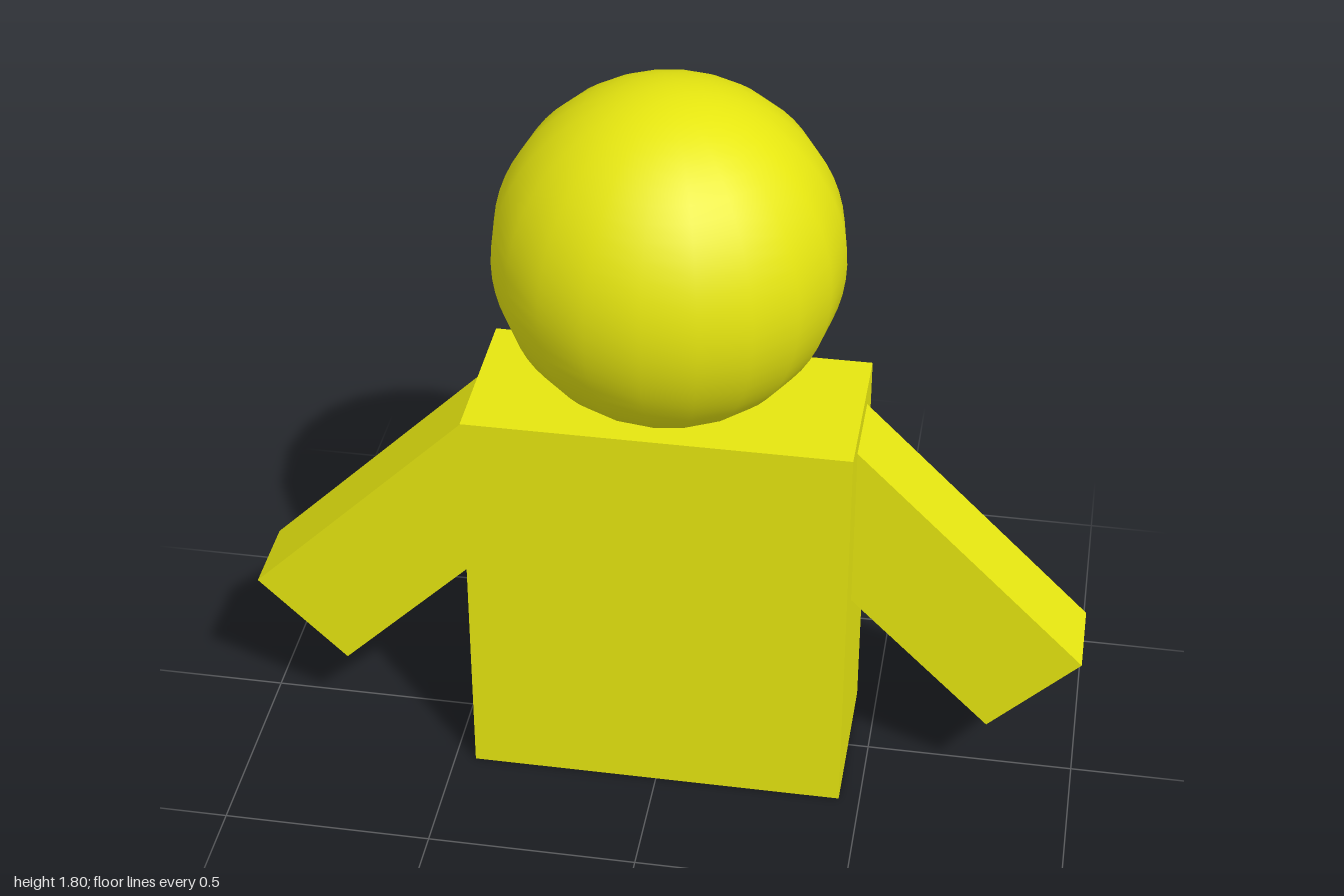
import * as THREE from 'three';

export function createModel() {
  const model = new THREE.Group();
  const yellow = new THREE.MeshStandardMaterial({ color: 0xe6e610 });

  const add = (name, geometry, x, y) => {
    const mesh = new THREE.Mesh(geometry, yellow);
    mesh.name = name;
    mesh.position.set(x, y, 0);
    model.add(mesh);
    return mesh;
  };

  // Block torso standing on the ground
  add('torso', new THREE.BoxGeometry(0.9, 1.01, 0.4), 0, 0.505);

  // Round head, 20 sides around, sunk slightly into the torso
  add('head', new THREE.SphereGeometry(0.4, 20, 32), 0, 1.4);

  // Arms slanting down at 45 degrees, inner ends buried in the torso
  for (const [name, side] of [['leftArm', 1], ['rightArm', -1]]) {
    const arm = add(name, new THREE.BoxGeometry(0.3, 0.8, 0.2), side * 0.611, 0.588);
    arm.rotation.z = side * Math.PI / 4;
  }

  return model;
}
